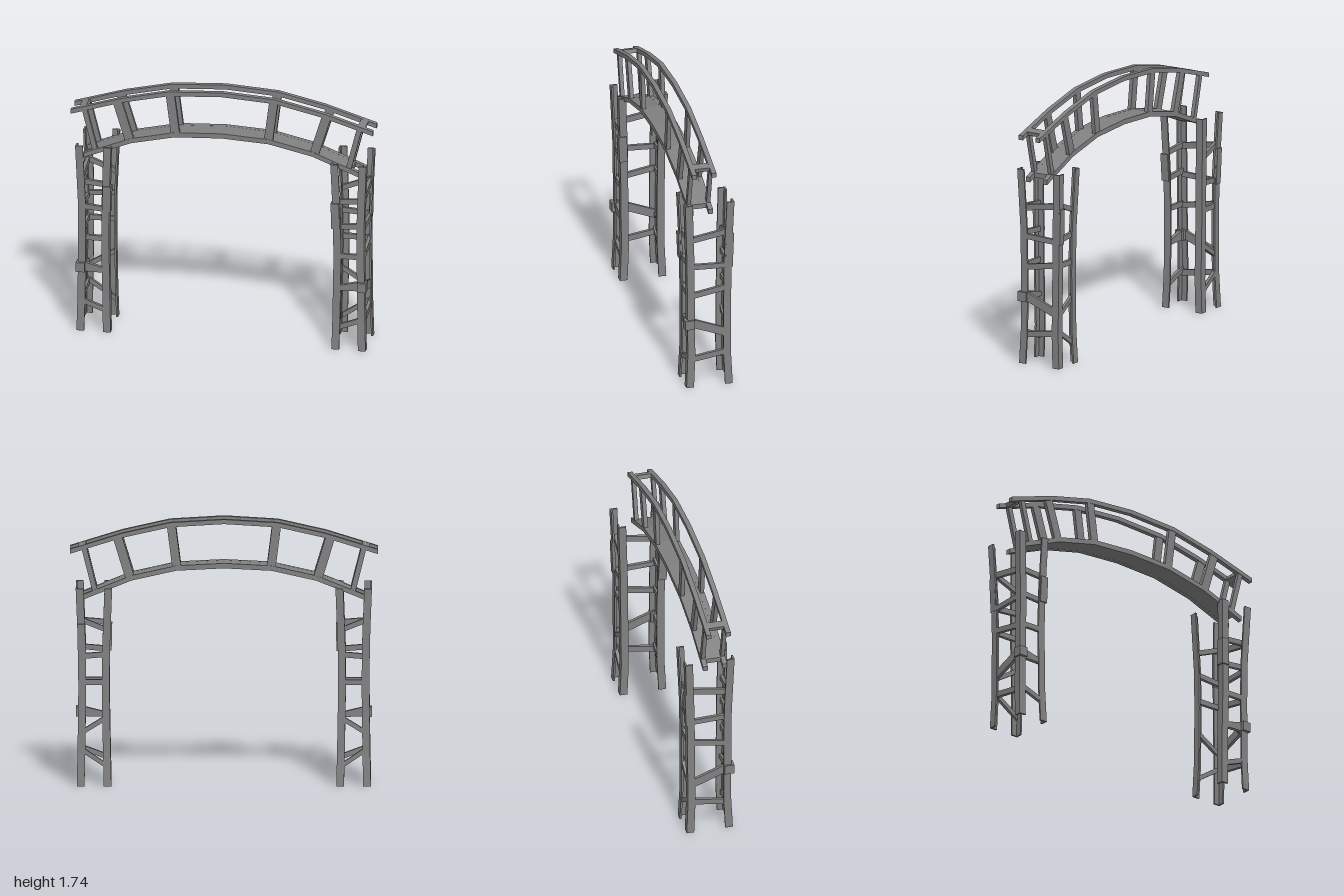
import * as THREE from 'three';

const mat = new THREE.MeshStandardMaterial({ color: 0x808080, flatShading: true, side: THREE.DoubleSide });

function add(parent, name, geo) {
  const mesh = new THREE.Mesh(geo, mat);
  mesh.name = name;
  parent.add(mesh);
}

function extrude(points, depth, steps = 1) {
  const shape = new THREE.Shape(points.map(p => new THREE.Vector2(p[0], p[1])));
  return new THREE.ExtrudeGeometry(shape, { depth, steps, bevelEnabled: false });
}

// Flat plate in the x-y plane, starting at depth z
const plateXY = (points, z, depth) => extrude(points, depth).translate(0, 0, z);

// Flat plate in the z-y plane, points given as [z, y]
const plateZY = (points, x, depth) => extrude(points, depth).rotateY(-Math.PI / 2).translate(x + depth, 0, 0);

// Slanted bar outline with upright ends
const bar = (u0, y0, u1, y1, h0, h1 = h0) => [
  [u0, y0 - h0 / 2], [u1, y1 - h1 / 2], [u1, y1 + h1 / 2], [u0, y0 + h0 / 2]];

// Band of constant height along a symmetric curve given from the middle outward
function band(half, h) {
  const line = [...half.slice(1).reverse().map(([x, y]) => [-x, y]), ...half];
  return [...line.map(([x, y]) => [x, y - h / 2]), ...line.reverse().map(([x, y]) => [x, y + h / 2])];
}

// Angle-section bar whose corner follows rows of [y, x, z]; dx and dz point inward
function angleBar(rows, dx, dz, w, t) {
  const section = [[0, 0], [w, 0], [w, t], [t, t], [t, w], [0, w]].map(([a, b]) => [a * dx, -b * dz]);
  const n = rows.length - 1;
  const geo = extrude(section, n, n).rotateX(-Math.PI / 2);
  const p = geo.attributes.position;
  for (let i = 0; i < p.count; i++) {
    const [y, x, z] = rows[Math.round(p.getY(i))];
    p.setXYZ(i, p.getX(i) + x, y, p.getZ(i) + z);
  }
  geo.computeVertexNormals();
  return geo;
}

// Bent leg lines: height, outer x, inner x, z
const LEVELS = [
  [0, 0.955, 0.73, 0.155], [0.22, 0.95, 0.735, 0.145], [0.62, 0.945, 0.742, 0.147],
  [0.9, 0.946, 0.74, 0.15], [1.305, 0.962, 0.725, 0.165]];

function createTower(s) {
  const tower = new THREE.Group();
  tower.name = s > 0 ? 'leftTower' : 'rightTower';

  // Four angle-section legs
  for (const outer of [true, false]) for (const f of [1, -1]) {
    const rows = LEVELS.map(([y, xo, xi, z]) => [y, s * (outer ? xo : xi), f * z]);
    add(tower, (f > 0 ? 'front' : 'back') + (outer ? 'Outer' : 'Inner') + 'Leg',
      angleBar(rows, outer ? -s : s, -f, 0.05, 0.012));
  }

  // Patch sleeves on two of the legs
  add(tower, 'frontSleeve', angleBar([[0.85, s * 0.73, 0.158], [1.03, s * 0.726, 0.165]], s, -1, 0.055, 0.02));
  add(tower, 'backSleeve', angleBar([[0.83, s * 0.947, -0.157], [1.07, s * 0.952, -0.165]], -s, 1, 0.05, 0.02));

  // Front braces: outer height, inner height, thickness
  for (const [a, b, h] of [[1.05, 1.035, 0.035], [0.875, 0.86, 0.035], [0.655, 0.655, 0.035], [0.215, 0.145, 0.035]])
    add(tower, 'frontBrace', plateXY(bar(s * 0.935, a, s * 0.75, b, h), 0.122, 0.022));

  // Back braces
  for (const [a, b, h] of [[1.1, 1.025, 0.035], [0.855, 0.87, 0.035], [0.685, 0.685, 0.035], [0.345, 0.46, 0.035], [0.25, 0.125, 0.035]])
    add(tower, 'backBrace', plateXY(bar(s * 0.935, a, s * 0.75, b, h), -0.144, 0.022));

  // Outer side braces: front height, back height, thickness
  for (const [a, b, h] of [[1.045, 1.088, 0.04], [0.855, 0.845, 0.035], [0.645, 0.69, 0.038], [0.46, 0.36, 0.06], [0.192, 0.232, 0.038]])
    add(tower, 'sideBrace', plateZY(bar(0.13, a, -0.13, b, h), s > 0 ? 0.922 : -0.944, 0.022));

  // Clamp on the front outer leg with a tapered arm
  add(tower, 'clamp', new THREE.BoxGeometry(0.06, 0.064, 0.066).translate(s * 0.93, 0.448, 0.132));
  add(tower, 'clampArm', plateXY(bar(s * 0.91, 0.448, s * 0.75, 0.426, 0.064, 0.028), 0.116, 0.026));
  return tower;
}

function createBridge() {
  const bridge = new THREE.Group();
  bridge.name = 'archBridge';
  const upper = [[0, 1.724], [0.35, 1.703], [0.66, 1.633], [0.999, 1.528]];
  const lower = [[0, 1.434], [0.31, 1.418], [0.6, 1.353], [0.912, 1.228]];
  const deck = [...lower.slice(0, 3), [0.86, 1.249]];

  // Posts: top x, top y, bottom x, bottom y, width
  const posts = [[0.907, 1.55, 0.836, 1.265, 0.033], [0.69, 1.625, 0.61, 1.36, 0.058], [0.342, 1.705, 0.306, 1.42, 0.056]];

  for (const z of [0.097, -0.034]) {
    add(bridge, 'upperRail', plateXY(band(upper, 0.03), z, 0.032));
    add(bridge, 'lowerRail', plateXY(band(lower, 0.033), z, 0.032));
    for (const s of [1, -1]) for (const [xt, yt, xb, yb, w] of posts)
      add(bridge, 'post', plateXY([
        [s * (xb - w / 2), yb], [s * (xb + w / 2), yb - w * 0.25],
        [s * (xt + w / 2), yt - w * 0.25], [s * (xt - w / 2), yt]], z + 0.003, 0.026));
  }
  add(bridge, 'deck', plateXY(band(deck, 0.032), -0.01, 0.115));

  // Cross bars joining the upper rails at the ends
  for (const s of [1, -1])
    add(bridge, 'crossBar', new THREE.BoxGeometry(0.05, 0.028, 0.12)
      .rotateZ(-s * 0.3).translate(s * 0.918, 1.553, 0.047));
  return bridge;
}

export function createModel() {
  const model = new THREE.Group();
  model.name = 'archway';
  model.add(createTower(1), createTower(-1), createBridge());
  return model;
}
